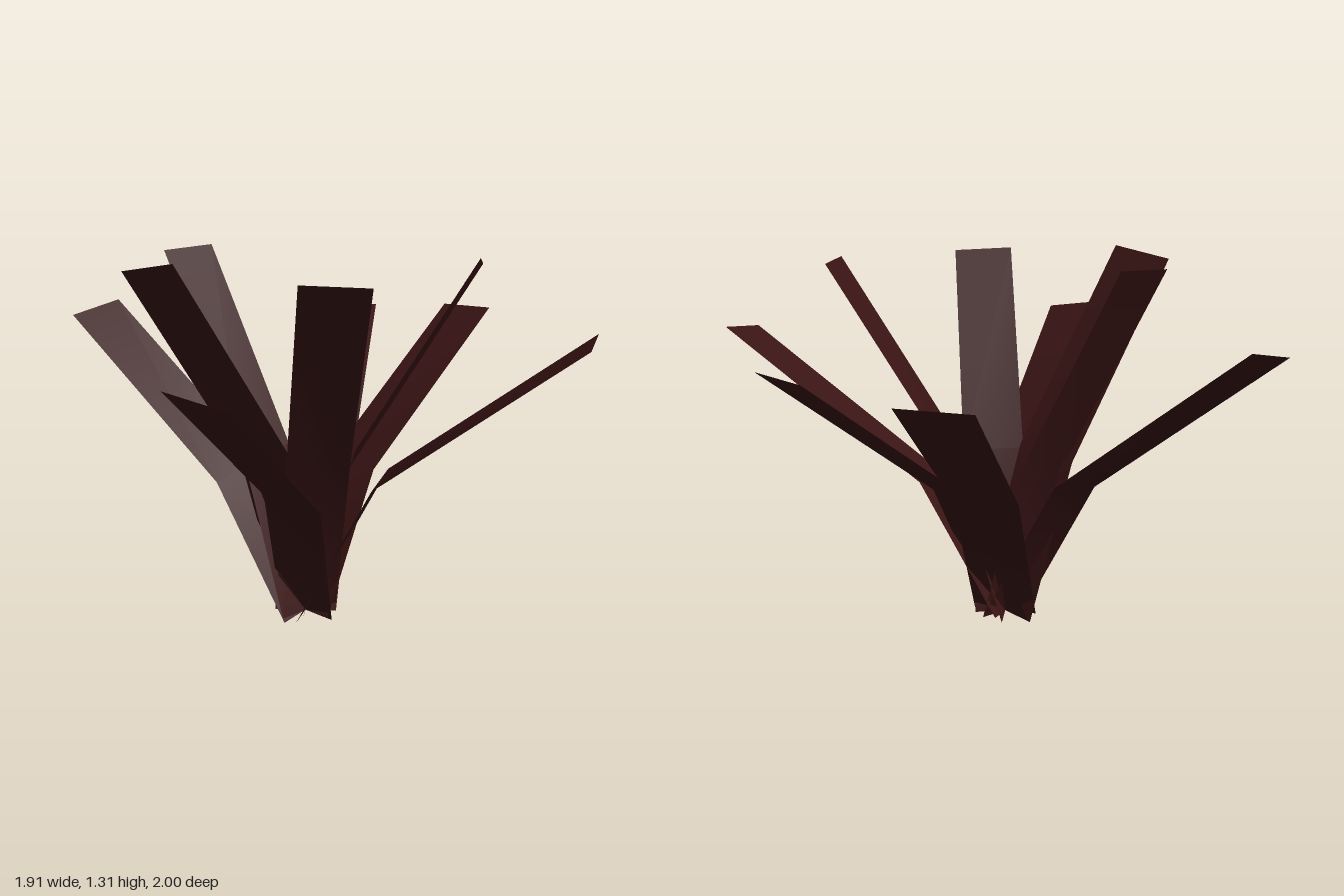
import * as THREE from 'three';

// Each blade: tip centre, bend centre, and the vector across its width
const BLADES = [
  { tip: [-0.15, 0.97, -0.98], bend: [-0.02, 0.51, -0.26], across: [-0.22, -0.01, 0.04] },
  { tip: [0.37, 1.01, -0.885], bend: [0.10, 0.51, -0.23], across: [-0.20, -0.01, -0.09] },
  { tip: [0.95, 1.04, -0.145], bend: [0.26, 0.52, -0.06], across: [0.00, 0.02, -0.21] },
  { tip: [0.565, 1.285, -0.165], bend: [0.17, 0.60, -0.03], across: [-0.05, -0.01, -0.21] },
  { tip: [0.29, 1.285, 0.54], bend: [0.09, 0.60, 0.11], across: [0.20, -0.01, -0.08] },
  { tip: [0.05, 1.035, 0.98], bend: [0.06, 0.52, 0.285], across: [0.215, -0.03, 0.04] },
  { tip: [-0.365, 1.295, 0.43], bend: [-0.12, 0.61, 0.08], across: [0.21, 0.04, 0.06] },
  { tip: [-0.915, 1.04, -0.195], bend: [-0.25, 0.515, 0.0], across: [-0.09, -0.035, 0.19] },
  { tip: [-0.52, 1.283, -0.195], bend: [-0.15, 0.60, -0.02], across: [-0.10, -0.005, 0.19] },
];
const ROOT = [0.012, 0.022, 0.02];

// Flat strip of constant width running root -> bend -> tip, upper side facing out
function bladeGeometry({ tip, bend, across }) {
  const points = [], index = [];
  const half = new THREE.Vector3(...across).multiplyScalar(0.5);
  [ROOT, bend, tip].forEach((c, i) => {
    const centre = new THREE.Vector3(...c);
    points.push(centre.clone().sub(half), centre.clone().add(half));
    if (i > 0) {
      const a = 2 * (i - 1);
      index.push(a, a + 2, a + 1, a + 1, a + 2, a + 3);
    }
  });
  const geometry = new THREE.BufferGeometry().setFromPoints(points);
  geometry.setIndex(index);
  geometry.computeVertexNormals();
  return geometry;
}

export function createModel() {
  const plant = new THREE.Group();
  plant.name = 'plant';
  const material = new THREE.MeshStandardMaterial({ color: 0x3a1414, side: THREE.DoubleSide });

  // Rosette of bent blades sharing one root
  BLADES.forEach((blade, i) => {
    const leaf = new THREE.Mesh(bladeGeometry(blade), material);
    leaf.name = `leaf${i + 1}`;
    plant.add(leaf);
  });
  return plant;
}
